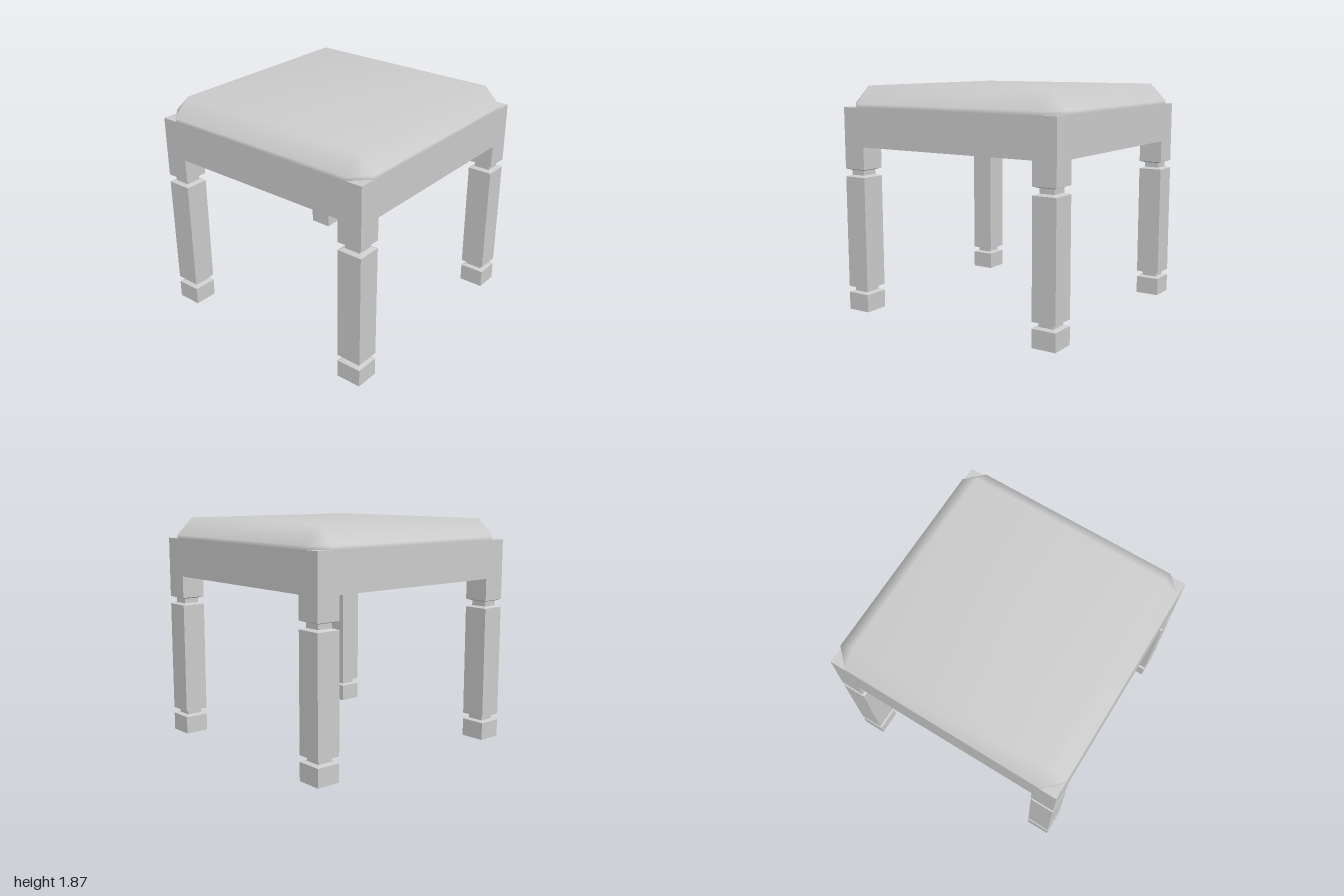
import * as THREE from 'three';
import { mergeVertices } from 'three/addons/utils/BufferGeometryUtils.js';

const material = new THREE.MeshStandardMaterial({ color: 0xcccccc });

// Outline of a rectangle with half sizes hx, hz whose corners are cut by c
// (8 points, counter-clockwise seen from above; c = 0 gives a plain rectangle)
function outline(y, hx, hz, c = 0) {
  return [
    [hx - c, hz], [hx, hz - c], [hx, c - hz], [hx - c, -hz],
    [c - hx, -hz], [-hx, c - hz], [-hx, hz - c], [c - hx, hz],
  ].map(([x, z]) => [x, y, z]);
}

// Skin over stacked outlines, from bottom to top
function loft(rings, { smooth = false, base = true } = {}) {
  const positions = [];
  const triangle = (a, b, c) => {
    const same = (p, q) => p.every((v, i) => v === q[i]);
    if (!same(a, b) && !same(b, c) && !same(c, a)) positions.push(...a, ...b, ...c);
  };
  for (let r = 0; r < rings.length - 1; r++) {
    const low = rings[r], high = rings[r + 1];
    low.forEach((a, i) => {
      const j = (i + 1) % low.length;
      triangle(a, low[j], high[j]);
      triangle(a, high[j], high[i]);
    });
  }
  const top = rings[rings.length - 1], bottom = rings[0];
  for (let i = 1; i < top.length - 1; i++) {
    triangle(top[0], top[i], top[i + 1]);
    if (base) triangle(bottom[0], bottom[i + 1], bottom[i]);
  }
  let geometry = new THREE.BufferGeometry();
  geometry.setAttribute('position', new THREE.Float32BufferAttribute(positions, 3));
  if (smooth) geometry = mergeVertices(geometry);
  geometry.computeVertexNormals();
  return geometry;
}

function part(name, geometry) {
  const mesh = new THREE.Mesh(geometry, material);
  mesh.name = name;
  return mesh;
}

export function createModel() {
  const group = new THREE.Group();
  group.name = 'stool';

  // Seat frame
  const frameBottom = 1.375, frameTop = 1.693;
  const frame = part('seatFrame', new THREE.BoxGeometry(2, frameTop - frameBottom, 2));
  frame.position.y = (frameTop + frameBottom) / 2;
  group.add(frame);

  // Cushion: cut corners below, bevelled up to a square top
  group.add(part('cushion', loft([
    outline(frameTop, 1, 1, 0.14),
    outline(1.722, 1, 1, 0.14),
    outline(1.866, 0.857, 0.857),
  ], { smooth: true, base: false })));

  // Square legs with two bevelled grooves: [height, inset]
  const legX = 0.1, legZ = 0.105, groove = 0.037;
  const profile = [
    [0, 0], [0.147, 0], [0.158, groove], [0.187, groove], [0.198, 0],
    [1.126, 0], [1.139, groove], [1.179, groove], [1.191, 0], [frameBottom, 0],
  ];
  const legGeometry = loft(profile.map(([y, d]) => outline(y, legX - d, legZ - d)));
  for (const [zName, z] of [['front', 1], ['back', -1]]) {
    for (const [xName, x] of [['Left', 1], ['Right', -1]]) {
      const leg = part(`${zName}${xName}Leg`, legGeometry);
      leg.position.set(x * (1 - legX), 0, z * (1 - legZ));
      group.add(leg);
    }
  }
  return group;
}
